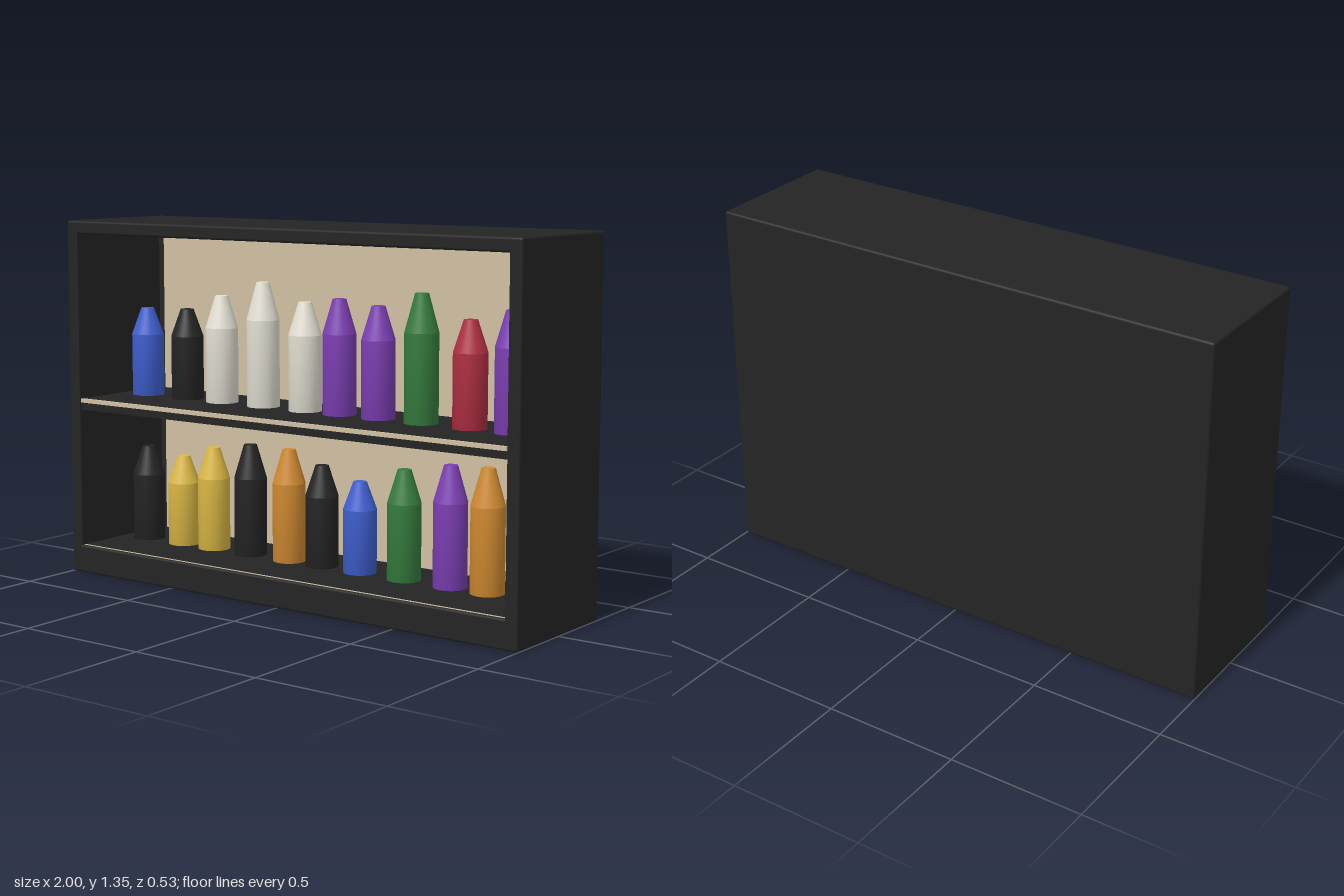
import * as THREE from 'three';
import { RoundedBoxGeometry } from 'three/addons/geometries/RoundedBoxGeometry.js';

const mat = (name, color, side = THREE.FrontSide) => {
  const m = new THREE.MeshStandardMaterial({ color, side });
  m.name = name;
  return m;
};

export function createModel() {
  const group = new THREE.Group();
  group.name = 'displayCabinet';

  const black = mat('black', 0x242424);
  const beige = mat('beige', 0xd0c0a2);
  const blue = mat('blue', 0x3f5fd0);
  const white = mat('white', 0xe4e0d4);
  const purple = mat('purple', 0x7c3fb4);
  const green = mat('green', 0x357c3e);
  const red = mat('red', 0xb02f42);
  const yellow = mat('yellow', 0xdcb844);
  const orange = mat('orange', 0xd08a30);

  const add = (name, geometry, material, x, y, z, parent = group) => {
    const mesh = new THREE.Mesh(geometry, material);
    mesh.name = name;
    mesh.position.set(x, y, z);
    parent.add(mesh);
    return mesh;
  };

  // Cabinet carcass
  const H = 1.35, D = 0.534, WALL = 0.05, FLOOR = 0.107, SHELF = 0.674;
  const board = (name, w, h, d, x, y, z) =>
    add(name, new RoundedBoxGeometry(w, h, d, 2, 0.009), black, x, y, z);
  for (const s of [-1, 1]) {
    board(s > 0 ? 'leftWall' : 'rightWall', WALL, H, D, s * (1 - WALL / 2), H / 2, 0);
  }
  board('topBoard', 2, WALL, D, 0, H - WALL / 2, 0);
  board('bottomBoard', 2, FLOOR, D, 0, FLOOR / 2, 0);
  board('backBoard', 2, H, 0.07, 0, H / 2, -D / 2 + 0.035);

  // Light lining on the back wall
  add('backLining', new THREE.BoxGeometry(1.84, 1.19, 0.008), beige, 0, 0.672, -0.194);

  // Middle shelf with light edge trims
  add('shelf', new THREE.BoxGeometry(1.9, 0.042, 0.45), black, 0, SHELF - 0.021, 0.031);
  add('shelfTrim', new THREE.BoxGeometry(1.894, 0.015, 0.012), beige, 0, SHELF - 0.0065, 0.255);
  add('floorTrim', new THREE.BoxGeometry(1.894, 0.006, 0.006), beige, 0, FLOOR - 0.001, 0.255);

  // Bottle: straight body and tapered cap, standing on its base
  const R = 0.061;
  const lathe = (pts) => new THREE.LatheGeometry(pts.map(([x, y]) => new THREE.Vector2(x, y)), 28);
  const bottle = (x, base, h, material) => {
    const b = new THREE.Group();
    b.name = 'bottle';
    b.position.set(x, base, 0);
    group.add(b);
    add('body', lathe([[0, 0], [R, 0], [R, h * 0.7]]), material, 0, 0, 0, b);
    add('cap', lathe([[R, 0], [R * 0.4, h * 0.3]]), material, 0, h * 0.7, 0, b);
    const tip = add('capTop', new THREE.CircleGeometry(R * 0.4, 28), material, 0, h, 0, b);
    tip.rotation.x = -Math.PI / 2;
  };

  // Each entry: x position, height, colour
  const upperRow = [
    [-0.837, 0.336, blue], [-0.636, 0.342, black], [-0.465, 0.401, white], [-0.267, 0.46, white],
    [-0.072, 0.397, white], [0.083, 0.417, purple], [0.254, 0.401, purple], [0.438, 0.455, green],
    [0.639, 0.375, red], [0.807, 0.417, purple],
  ];
  const lowerRow = [
    [-0.84, 0.364, black], [-0.66, 0.343, yellow], [-0.51, 0.39, yellow], [-0.33, 0.418, black],
    [-0.147, 0.418, orange], [0.005, 0.374, black], [0.176, 0.333, blue], [0.369, 0.397, green],
    [0.564, 0.433, purple], [0.717, 0.439, orange],
  ];
  upperRow.forEach(([x, h, m]) => bottle(x, SHELF, h, m));
  lowerRow.forEach(([x, h, m]) => bottle(x, FLOOR, h, m));

  return group;
}
